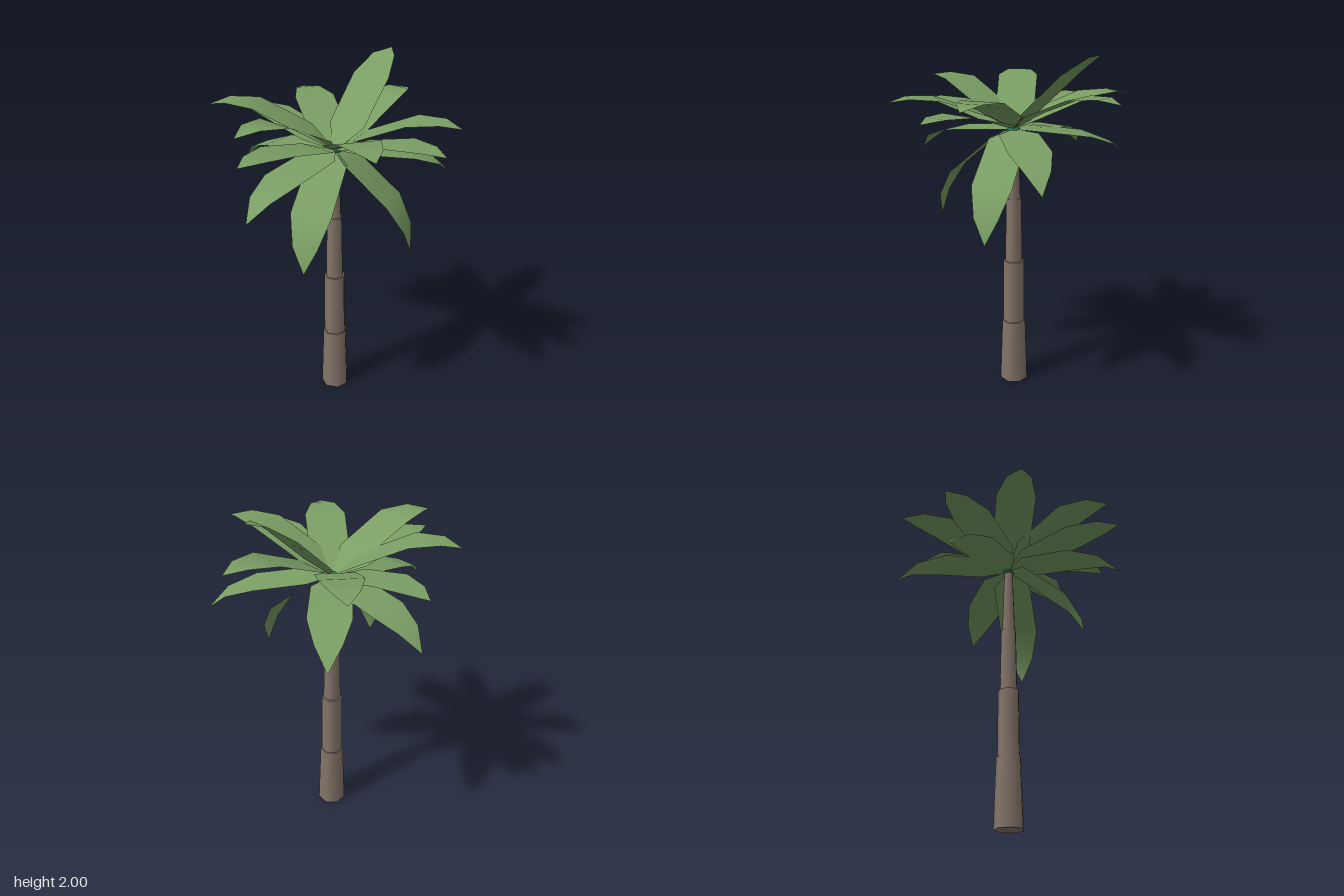
import * as THREE from 'three';

const CX = -0.025, CROWN = 1.555;
const leafMat = new THREE.MeshStandardMaterial({ color: 0x7a9e64, side: THREE.DoubleSide });
const trunkMat = new THREE.MeshStandardMaterial({ color: 0x84756a });
const budMat = new THREE.MeshStandardMaterial({ color: 0x2a7a55, flatShading: true });

// Leaf shape: fraction of reach and half width of each cross-section
const SPAN = [0, 0.2, 0.62, 0.85, 1];
const HALF = [0.008, 0.11, 0.115, 0.07, 0.002];
// Height of each cross-section above the crown, as a share of the tip height
const CURVES = {
  raised: [0, 0.46, 1.06, 1.12, 1],
  upright: [0, 0.24, 0.74, 0.95, 1],
  arched: [0, 0, 0.2, 0.5, 1],
  hanging: [0, 0.07, 0.46, 0.74, 1],
};

// Flat strip of three points per cross-section, bent along its curve
function leafGeometry(reach, tip, curve) {
  const pos = [], index = [];
  const span = curve === 'hanging' ? [0, 0.22, 0.76, 0.95, 1] : SPAN;
  span.forEach((s, i) => {
    const y = CURVES[curve][i] * tip;
    for (const side of [-1, 0, 1]) pos.push(s * reach, y, side * HALF[i]);
  });
  for (let i = 0; i < span.length - 1; i++) {
    for (let j = 0; j < 2; j++) {
      const a = i * 3 + j, b = a + 1, c = a + 3, d = a + 4;
      index.push(a, b, d, a, d, c);
    }
  }
  const g = new THREE.BufferGeometry();
  g.setAttribute('position', new THREE.Float32BufferAttribute(pos, 3));
  g.setIndex(index);
  g.computeVertexNormals();
  return g;
}

// Leaves: tip x, tip y, tip z, curve
const LEAVES = [
  [0.42, 2.0, -0.36, 'upright'],
  [-0.03, 1.735, 0.69, 'raised'],
  [-0.02, 1.725, -0.69, 'raised'],
  [0.51, 1.76, 0.44, 'raised'],
  [-0.61, 1.79, 0.335, 'raised'],
  [-0.65, 1.79, -0.25, 'raised'],
  [0.54, 1.755, -0.375, 'raised'],
  [0.36, 1.685, 0.6, 'raised'],
  [-0.615, 1.665, 0.4, 'raised'],
  [-0.42, 1.68, -0.59, 'raised'],
  [0.65, 1.36, 0.08, 'arched'],
  [0.07, 1.36, -0.67, 'arched'],
  [-0.41, 1.37, -0.55, 'arched'],
  [-0.59, 1.37, 0.4, 'arched'],
  [0.33, 1.02, 0.28, 'hanging'],
  [-0.3, 1.02, 0.36, 'hanging'],
];

export function createModel() {
  const root = new THREE.Group();
  root.name = 'palmTree';

  // Trunk: tapering seven-sided segments, each narrower than the one below
  const trunk = new THREE.Group();
  trunk.name = 'trunk';
  const segments = [
    [0, 0.39, 0.083, 0.07],
    [0.385, 0.775, 0.064, 0.061],
    [0.77, 1.155, 0.051, 0.044],
    [1.15, 1.555, 0.039, 0.025],
  ];
  segments.forEach(([y0, y1, rBottom, rTop], i) => {
    const g = new THREE.CylinderGeometry(rTop, rBottom, y1 - y0, 7, 1, false, Math.PI / 4);
    const m = new THREE.Mesh(g, trunkMat);
    m.name = `trunkSegment${i + 1}`;
    m.position.set(CX, (y0 + y1) / 2, 0);
    trunk.add(m);
  });
  root.add(trunk);

  // Bud in the middle of the crown
  const bud = new THREE.Mesh(new THREE.IcosahedronGeometry(0.036, 1), budMat);
  bud.name = 'bud';
  bud.scale.y = 0.6;
  bud.position.set(CX, CROWN, 0);
  root.add(bud);

  // Crown of leaves
  const crown = new THREE.Group();
  crown.name = 'crown';
  crown.position.set(CX, CROWN, 0);
  LEAVES.forEach(([x, y, z, curve], i) => {
    const dx = x - CX;
    const leaf = new THREE.Mesh(leafGeometry(Math.hypot(dx, z), y - CROWN, curve), leafMat);
    leaf.name = `leaf${i + 1}`;
    leaf.rotation.y = -Math.atan2(z, dx);
    crown.add(leaf);
  });
  root.add(crown);
  return root;
}
